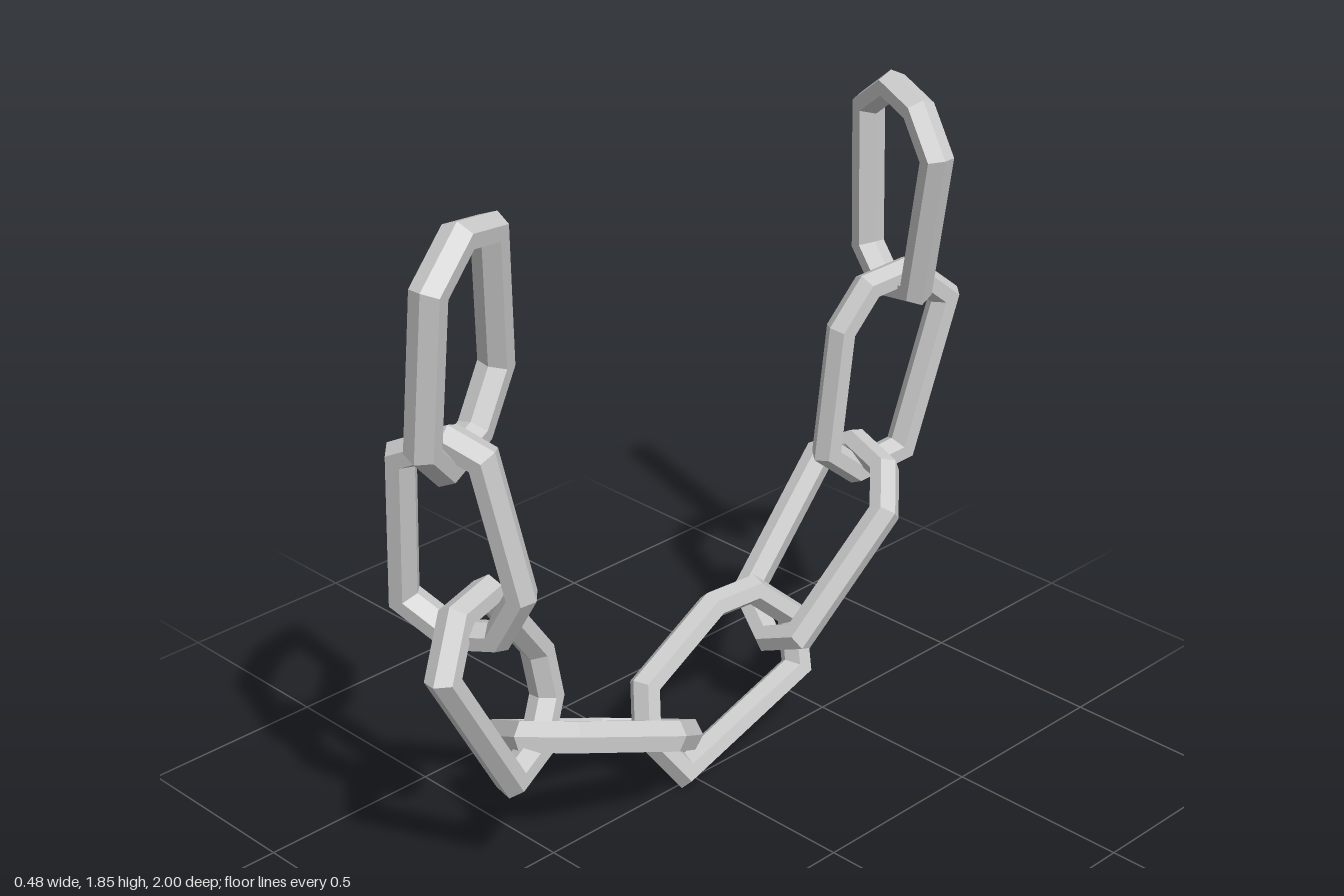
import * as THREE from 'three';

const R = 0.037;      // bar half width, in the plane of the link
const DEPTH = 0.045;  // bar half depth, across the plane of the link
const SIDES = 6;      // facets around the bar

// Each link lies in its own plane: seven outline corners in two axes,
// and a rule for the third axis.
const side = (x, pts) => pts.map(([z, y]) => new THREE.Vector3(x(z, y), y, z));
const front = (z, pts) => pts.map(([x, y]) => new THREE.Vector3(x, y, z(x, y)));
const flat = (y, pts) => pts.map(([x, z]) => new THREE.Vector3(x, y(x, z), z));

const LINKS = [
  // hanging front end
  side((z, y) => 0.182 + 0.35 * (z - 1) + 0.12 * (y - 1.74),
    [[1.0, 1.74], [0.86, 1.855], [0.69, 1.815], [0.62, 1.415], [0.715, 1.25], [0.885, 1.205], [0.995, 1.315]]),
  front((x, y) => 0.853 - 0.33 * (x + 0.12) + 0.13 * (y - 0.83),
    [[-0.085, 1.265], [0.08, 1.35], [0.19, 1.305], [0.24, 0.92], [0.147, 0.76], [0, 0.725], [-0.147, 0.82]]),
  side((z, y) => 0.092 + 0.33 * (z - 0.94) - 0.11 * (y - 0.71),
    [[0.94, 0.71], [0.84, 0.865], [0.67, 0.865], [0.47, 0.6], [0.445, 0.44], [0.53, 0.31], [0.69, 0.28]]),
  // sagging middle
  flat((x, z) => 0.39 + 0.42 * (z - 0.5) + 0.41 * (x - 0.1),
    [[-0.215, 0.16], [-0.085, 0.045], [0.085, 0.05], [0.175, 0.2], [0.125, 0.515], [0, 0.62], [-0.195, 0.56]]),
  side((z, y) => 0.015 - 0.094 * (z - 0.06) - 0.3 * (y - 0.01),
    [[0.06, 0.005], [0.17, 0.17], [0.135, 0.32], [-0.15, 0.46], [-0.31, 0.46], [-0.445, 0.335], [-0.42, 0.16]]),
  flat((x, z) => 0.505 - 1.15 * (z + 0.57) + 0.28 * (x + 0.2),
    [[-0.24, -0.71], [-0.1, -0.745], [0.07, -0.69], [0.16, -0.59], [0.085, -0.32], [-0.05, -0.305], [-0.24, -0.4]]),
  // hanging back end
  side((z) => -0.09 - 0.22 * (z + 0.57),
    [[-0.855, 0.645], [-0.67, 0.61], [-0.55, 0.71], [-0.59, 1.085], [-0.685, 1.21], [-0.845, 1.235], [-0.995, 1.11]]),
  front((x, y) => -0.765 + 0.31 * (x - 0.1) + 0.03 * (y - 1.4),
    [[-0.24, 1.63], [-0.1, 1.735], [0.05, 1.7], [0.155, 1.57], [0.06, 1.135], [-0.12, 1.09], [-0.24, 1.195]]),
];

// Mitred faceted bar swept round a closed, planar outline
function linkGeometry(outline) {
  const n = outline.length;
  const at = (i) => outline[(i + n) % n];
  const normal = new THREE.Vector3();
  for (let i = 0; i < n; i++) normal.add(at(i).clone().cross(at(i + 1)));
  normal.normalize();
  const edgeOut = (i) => at(i + 1).clone().sub(at(i)).cross(normal).normalize();

  const pos = [], idx = [];
  for (let i = 0; i < n; i++) {
    const a = edgeOut(i - 1), b = edgeOut(i);
    const mitre = a.clone().add(b).divideScalar(1 + a.dot(b));
    for (let j = 0; j < SIDES; j++) {
      const t = (j / SIDES) * Math.PI * 2;
      const p = at(i).clone()
        .addScaledVector(mitre, R * (Math.cos(t) - 1))
        .addScaledVector(normal, DEPTH * Math.sin(t));
      pos.push(p.x, p.y, p.z);
      const i2 = (i + 1) % n, j2 = (j + 1) % SIDES;
      const p0 = i * SIDES + j, p1 = i2 * SIDES + j, p2 = i2 * SIDES + j2, p3 = i * SIDES + j2;
      idx.push(p0, p1, p2, p0, p2, p3);
    }
  }
  const indexed = new THREE.BufferGeometry();
  indexed.setAttribute('position', new THREE.Float32BufferAttribute(pos, 3));
  indexed.setIndex(idx);
  const geo = indexed.toNonIndexed();
  geo.computeVertexNormals();
  return geo;
}

export function createModel() {
  const chain = new THREE.Group();
  chain.name = 'chain';
  const material = new THREE.MeshStandardMaterial({ color: 0xcccccc, flatShading: true });
  LINKS.forEach((outline, i) => {
    const link = new THREE.Mesh(linkGeometry(outline), material);
    link.name = `chainLink${i + 1}`;
    chain.add(link);
  });
  return chain;
}
